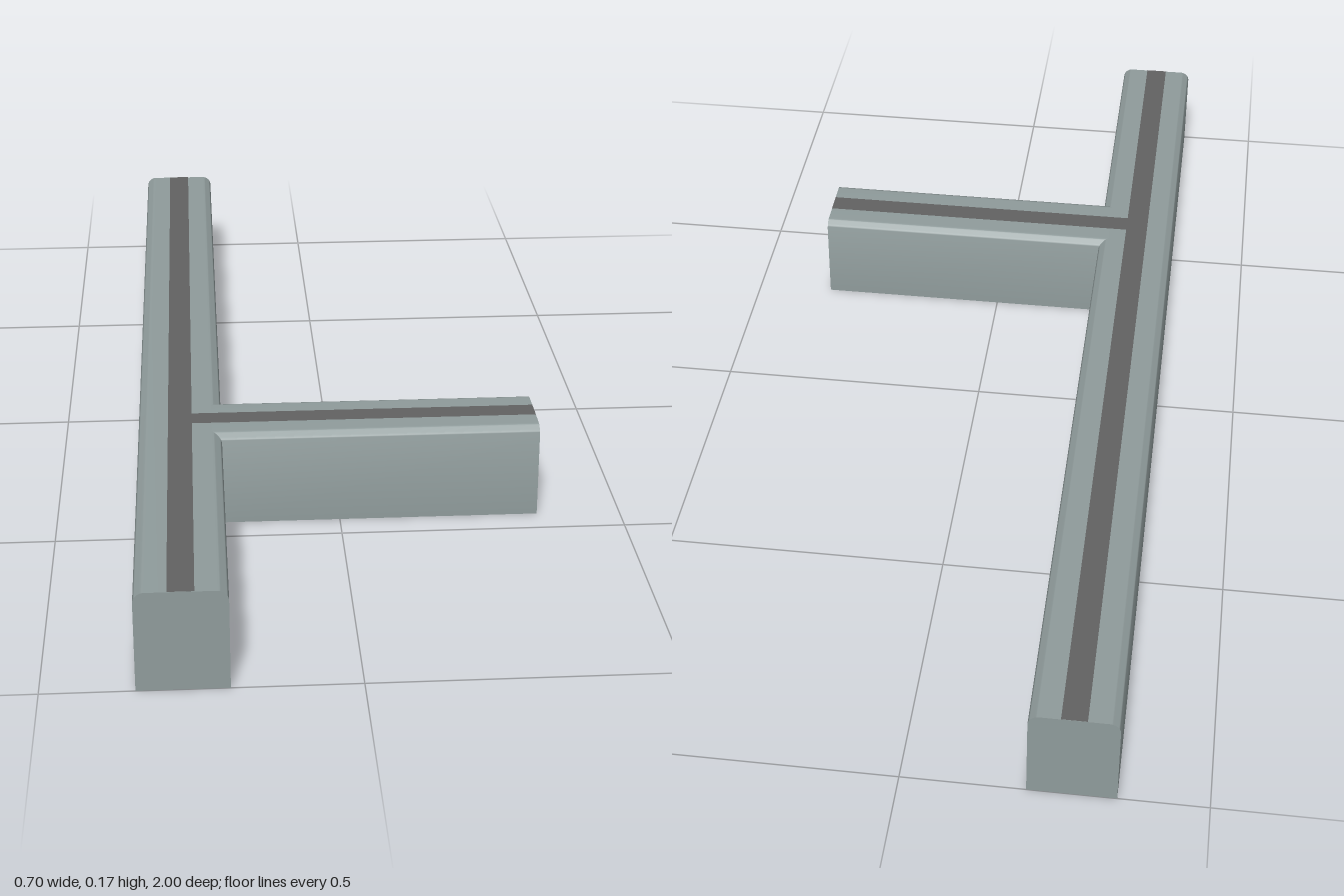
import * as THREE from 'three';
import { toCreasedNormals } from 'three/addons/utils/BufferGeometryUtils.js';

const WIDTH = 0.146, HEIGHT = 0.17, RADIUS = 0.018, STRIPE = 0.042;

// Upright section with a flat foot and rounded top corners
function wallSection() {
  const w = WIDTH / 2, s = new THREE.Shape();
  s.moveTo(-w, 0);
  s.lineTo(w, 0);
  s.lineTo(w, HEIGHT - RADIUS);
  s.absarc(w - RADIUS, HEIGHT - RADIUS, RADIUS, 0, Math.PI / 2, false);
  s.absarc(-w + RADIUS, HEIGHT - RADIUS, RADIUS, Math.PI / 2, Math.PI, false);
  s.closePath();
  return s;
}

// Wall running along +z from the origin
function wall(name, length, material) {
  const geo = new THREE.ExtrudeGeometry(wallSection(), { depth: length, bevelEnabled: false, curveSegments: 8 });
  const mesh = new THREE.Mesh(toCreasedNormals(geo, 0.6), material);
  mesh.name = name;
  return mesh;
}

// Flat dark band lying on the top of a wall
function stripe(name, sizeX, sizeZ, x, z, material) {
  const geo = new THREE.PlaneGeometry(sizeX, sizeZ).rotateX(-Math.PI / 2);
  const mesh = new THREE.Mesh(geo, material);
  mesh.name = name;
  mesh.position.set(x, HEIGHT + 0.0006, z);
  return mesh;
}

export function createModel() {
  const group = new THREE.Group();
  group.name = 'teeWall';
  const body = new THREE.MeshStandardMaterial({ color: 0x8f9b9b });
  const dark = new THREE.MeshStandardMaterial({ color: 0x626262 });

  const mainX = -0.279, branchZ = 0.373, endX = 0.352;

  // Long wall from back to front
  const main = wall('mainWall', 2, body);
  main.position.set(mainX, 0, -1);

  // Side wall, starting at the flat top of the long wall
  const startX = mainX + WIDTH / 2 - RADIUS;
  const branch = wall('branchWall', endX - startX, body);
  branch.rotation.y = Math.PI / 2;
  branch.position.set(startX, 0, branchZ);

  // Top stripes, meeting in a tee
  const edgeX = mainX + STRIPE / 2;
  group.add(
    main,
    branch,
    stripe('mainStripe', STRIPE, 2, mainX, 0, dark),
    stripe('branchStripe', endX - edgeX, STRIPE, (edgeX + endX) / 2, branchZ, dark)
  );
  return group;
}
